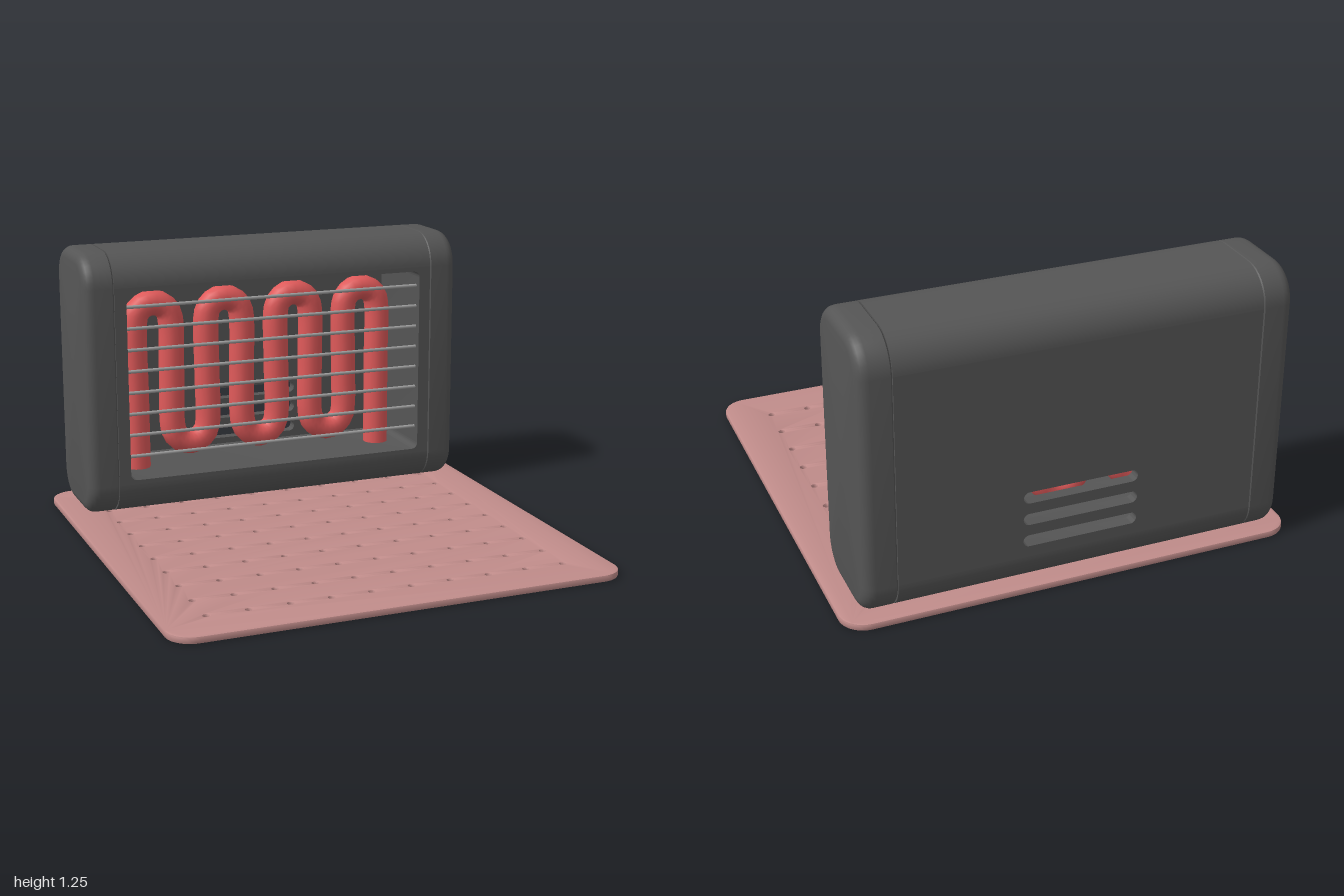
import * as THREE from 'three';
import { toCreasedNormals } from 'three/addons/utils/BufferGeometryUtils.js';

const mat = (color) => new THREE.MeshStandardMaterial({ color });
const bodyMat = mat(0x555555);
const boardMat = mat(0xc08c8a);
const coilMat = mat(0xe05a5a);
const rodMat = mat(0x9c9c9c);

// Heater half sizes and end radius
const H = 0.61, D = 0.2475, R = 0.15, SEAM = 0.78;

function addMesh(parent, name, geometry, material) {
  const mesh = new THREE.Mesh(geometry, material);
  mesh.name = name;
  parent.add(mesh);
  return mesh;
}

// Rounded rectangle, usable as a shape or as a hole
function roundedRect(path, cx, cy, hw, hh, r) {
  path.absarc(cx + hw - r, cy + hh - r, r, 0, Math.PI / 2);
  path.absarc(cx - hw + r, cy + hh - r, r, Math.PI / 2, Math.PI);
  path.absarc(cx - hw + r, cy - hh + r, r, Math.PI, Math.PI * 1.5);
  path.absarc(cx + hw - r, cy - hh + r, r, Math.PI * 1.5, Math.PI * 2);
  path.closePath();
  return path;
}

function plainRect(hw, hh) {
  return new THREE.Shape([
    new THREE.Vector2(-hw, -hh), new THREE.Vector2(hw, -hh),
    new THREE.Vector2(hw, hh), new THREE.Vector2(-hw, hh),
  ]);
}

function extrude(shape, depth, curveSegments = 8) {
  return toCreasedNormals(
    new THREE.ExtrudeGeometry(shape, { depth, bevelEnabled: false, curveSegments }), 0.6);
}

// Perforated base plate
function makeBoard() {
  const shape = roundedRect(new THREE.Shape(), 0, 0, 1, 1, 0.11);
  for (let i = 0; i < 10; i++) {
    for (let j = 0; j < 10; j++) {
      const hole = new THREE.Path();
      hole.absarc(-0.8 + i * 1.6 / 9, -0.8 + j * 1.6 / 9, 0.014, 0, Math.PI * 2, true);
      shape.holes.push(hole);
    }
  }
  const b = 0.006;
  const geo = new THREE.ExtrudeGeometry(shape, {
    depth: 0.03 - 2 * b, curveSegments: 6,
    bevelEnabled: true, bevelThickness: b, bevelSize: b, bevelOffset: -b, bevelSegments: 2,
  });
  geo.translate(0, 0, b);
  geo.rotateX(-Math.PI / 2);
  return toCreasedNormals(geo, 0.6);
}

// Rounded top or bottom bar, running along x between the end caps
function makeBar() {
  const shape = new THREE.Shape();
  shape.moveTo(-D, H - R);
  shape.lineTo(D, H - R);
  shape.absarc(D - R, H - R, R, 0, Math.PI / 2);
  shape.absarc(-D + R, H - R, R, Math.PI / 2, Math.PI);
  const geo = extrude(shape, 2 * SEAM);
  geo.rotateY(-Math.PI / 2);
  return geo.translate(SEAM, 0, 0);
}

// End cap: rounded cross-sections lofted along x, with a softened outer edge
function makeCap() {
  const rings = [[SEAM, 0.008], [SEAM + 0.007, 0]];
  for (let i = 0; i <= 5; i++) {
    const a = (i / 5) * Math.PI / 2;
    rings.push([0.87 + 0.05 * Math.sin(a), 0.05 * (1 - Math.cos(a))]);
  }
  rings.push([0.92, null]);
  const positions = [], index = [];
  const steps = 8, count = 4 * (steps + 1);
  for (const [x, inset] of rings) {
    for (let q = 0; q < 4; q++) {
      const sz = q === 0 || q === 3 ? 1 : -1, sy = q < 2 ? 1 : -1;
      for (let i = 0; i <= steps; i++) {
        const a = (q + i / steps) * Math.PI / 2;
        const r = R - inset;
        if (inset === null) positions.push(x, 0, 0);
        else positions.push(x, sy * (H - R) + r * Math.sin(a), sz * (D - R) + r * Math.cos(a));
      }
    }
  }
  for (let i = 0; i < rings.length - 1; i++) {
    for (let j = 0; j < count; j++) {
      const a = i * count + j, c = i * count + (j + 1) % count;
      index.push(a, a + count, c);
      if (i < rings.length - 2) index.push(a + count, c + count, c);
    }
  }
  const geo = new THREE.BufferGeometry();
  geo.setAttribute('position', new THREE.Float32BufferAttribute(positions, 3));
  geo.setIndex(index);
  return toCreasedNormals(geo, 0.6);
}

// Serpentine heating tube
function makeCoil() {
  const pts = [], z = 0.03, r = 0.0875, top = 0.255, bottom = -0.255;
  pts.push(new THREE.Vector3(-0.63, -0.44, z), new THREE.Vector3(-0.63, -0.1, z));
  for (let k = 0; k < 7; k++) {
    const up = k % 2 === 0;
    const cx = -0.63 + (2 * k + 1) * r;
    for (let i = 0; i <= 6; i++) {
      const a = Math.PI * (1 - i / 6);
      pts.push(new THREE.Vector3(
        cx + r * Math.cos(a), up ? top + r * Math.sin(a) : bottom - r * Math.sin(a), z));
    }
    pts.push(new THREE.Vector3(cx + r, 0, z));
  }
  pts.push(new THREE.Vector3(0.595, -0.44, z));
  return new THREE.TubeGeometry(new THREE.CatmullRomCurve3(pts), 220, 0.06, 14, false);
}

export function createModel() {
  const model = new THREE.Group();
  model.name = 'heaterOnBoard';
  addMesh(model, 'perforatedBoard', makeBoard(), boardMat);

  const heater = new THREE.Group();
  heater.name = 'heater';
  heater.position.set(0, 0.64, -0.7525);
  model.add(heater);

  // Casing
  const bar = makeBar();
  addMesh(heater, 'topBar', bar, bodyMat);
  addMesh(heater, 'bottomBar', bar, bodyMat).rotation.x = Math.PI;

  const frame = plainRect(SEAM, H - R);
  frame.holes.push(roundedRect(new THREE.Path(), 0, 0, 0.725, 0.44, 0.03));
  addMesh(heater, 'frontFrame', extrude(frame, 2 * D - 0.05), bodyMat).position.z = -D + 0.05;

  const back = plainRect(SEAM, H - R);
  for (let i = 0; i < 3; i++) {
    back.holes.push(roundedRect(new THREE.Path(), 0, -0.385 + i * 0.1, 0.25, 0.026, 0.0255));
  }
  addMesh(heater, 'ventedBack', extrude(back, 0.05), bodyMat).position.z = -D;

  const cap = makeCap();
  addMesh(heater, 'leftCap', cap, bodyMat);
  addMesh(heater, 'rightCap', cap, bodyMat).rotation.y = Math.PI;

  // Heating coil and guard rods
  addMesh(heater, 'heatingCoil', makeCoil(), coilMat);
  const rod = new THREE.CylinderGeometry(0.008, 0.008, 1.45, 10).rotateZ(Math.PI / 2);
  for (let i = 0; i < 8; i++) {
    addMesh(heater, 'guardRod', rod, rodMat).position.set(0, -0.335 + i * 0.1, 0.21);
  }
  return model;
}
